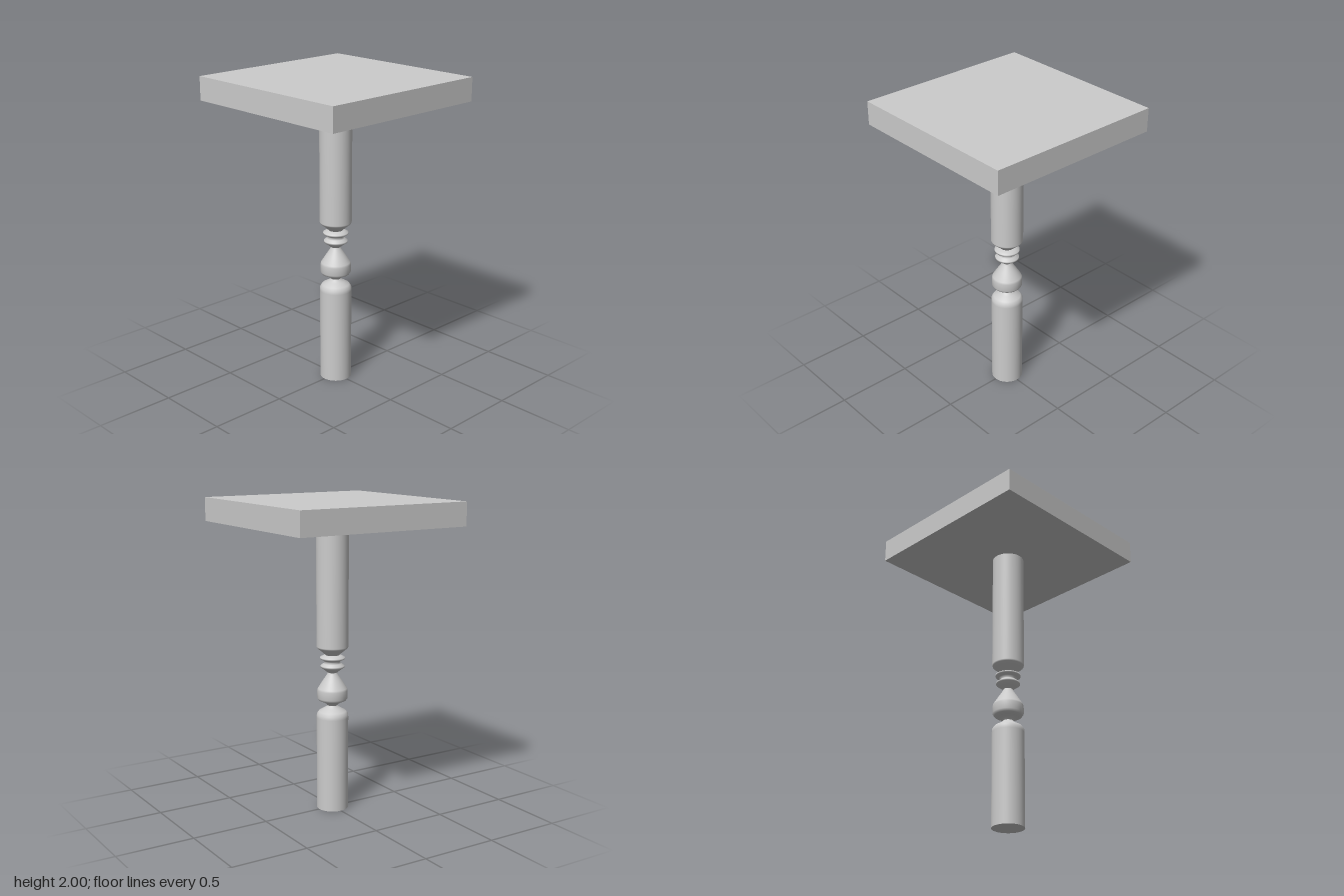
import * as THREE from 'three';

const material = new THREE.MeshStandardMaterial({ color: 0xcccccc });

function part(name, geometry, y = 0) {
  const mesh = new THREE.Mesh(geometry, material);
  mesh.name = name;
  mesh.position.y = y;
  return mesh;
}

// Turned section from [radius, height] pairs, bottom to top
function turned(name, profile) {
  const points = profile.map(([r, y]) => new THREE.Vector2(r, y));
  return part(name, new THREE.LatheGeometry(points, 48));
}

export function createModel() {
  const table = new THREE.Group();
  table.name = 'pedestalTable';

  // Square top slab
  table.add(part('tableTop', new THREE.BoxGeometry(1.166, 0.15, 1.166), 1.925));

  // Plain lower post with a rounded shoulder
  table.add(turned('lowerPost', [
    [0.102, 0], [0.102, 0.61], [0.101, 0.632], [0.088, 0.651],
    [0.055, 0.67], [0.038, 0.682], [0.033, 0.69],
  ]));

  // Vase-shaped bulb
  table.add(turned('bulb', [
    [0.033, 0.69], [0.042, 0.702], [0.065, 0.714], [0.087, 0.724], [0.098, 0.74],
    [0.098, 0.79], [0.093, 0.803], [0.06, 0.855], [0.035, 0.893], [0.03, 0.905],
  ]));

  // Two thin rings
  table.add(turned('rings', [
    [0.03, 0.905], [0.052, 0.923], [0.076, 0.94], [0.076, 0.951], [0.056, 0.964],
    [0.048, 0.975], [0.06, 0.985], [0.08, 0.995], [0.08, 1.005], [0.06, 1.015],
    [0.045, 1.02],
  ]));

  // Plain upper post with a tapered foot
  table.add(turned('upperPost', [
    [0.045, 1.02], [0.06, 1.035], [0.098, 1.066], [0.102, 1.076], [0.102, 1.855],
  ]));

  // Flat underside of the post
  const base = part('postBase', new THREE.CircleGeometry(0.102, 48));
  base.rotation.x = Math.PI / 2;
  table.add(base);

  return table;
}
